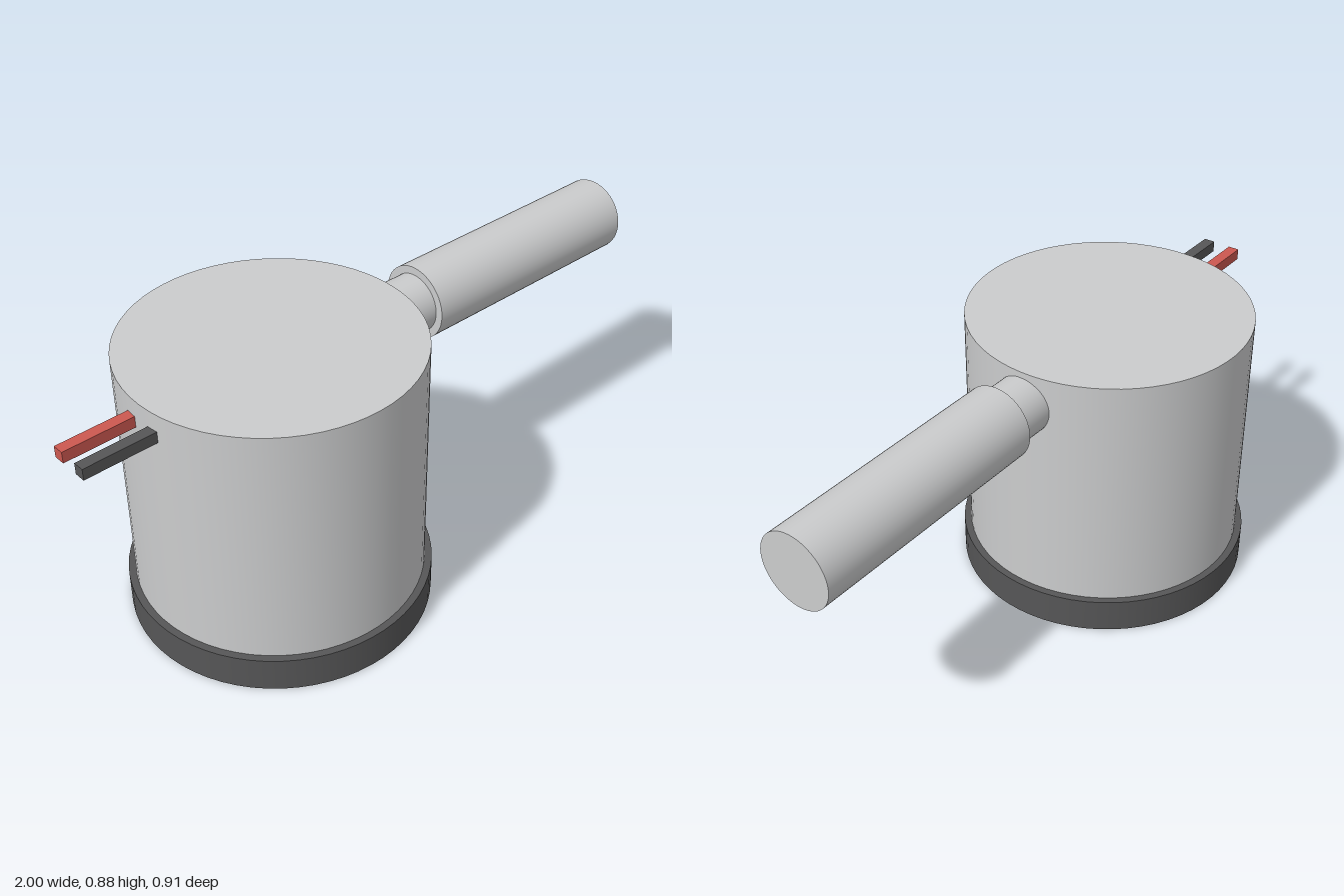
import * as THREE from 'three';

export function createModel() {
  const group = new THREE.Group();
  const mat = (name, color) => Object.assign(new THREE.MeshStandardMaterial({ color }), { name });
  const metal = mat('light metal', 0xcbcccd);
  const dark = mat('dark grey', 0x565657);
  const red = mat('red', 0xcc5850);

  const add = (name, geometry, material, x, y, z = 0) => {
    const mesh = new THREE.Mesh(geometry, material);
    mesh.name = name;
    mesh.position.set(x, y, z);
    group.add(mesh);
  };
  const centreX = -0.345;

  // Upright drum standing in a slightly wider base cap
  const bottom = 0.01, top = 0.875;
  add('body', new THREE.CylinderGeometry(0.435, 0.435, top - bottom, 64), metal, centreX, (top + bottom) / 2);
  add('baseCap', new THREE.CylinderGeometry(0.457, 0.457, 0.11, 64), dark, centreX, 0.055);

  // Horizontal pipe: narrow neck, then the wider sleeve
  const pipe = (name, radius, x0, x1) =>
    add(name, new THREE.CylinderGeometry(radius, radius, x1 - x0, 48).rotateZ(-Math.PI / 2), metal, (x0 + x1) / 2, 0.765);
  pipe('pipeNeck', 0.091, 0.0, 0.21);
  pipe('pipeSleeve', 0.115, 0.2, 1.0);

  // Pair of square leads on the opposite side
  const lead = () => new THREE.BoxGeometry(0.24, 0.035, 0.035);
  add('redLead', lead(), red, -0.88, 0.803, -0.046);
  add('darkLead', lead(), dark, -0.88, 0.803, 0.046);

  return group;
}
